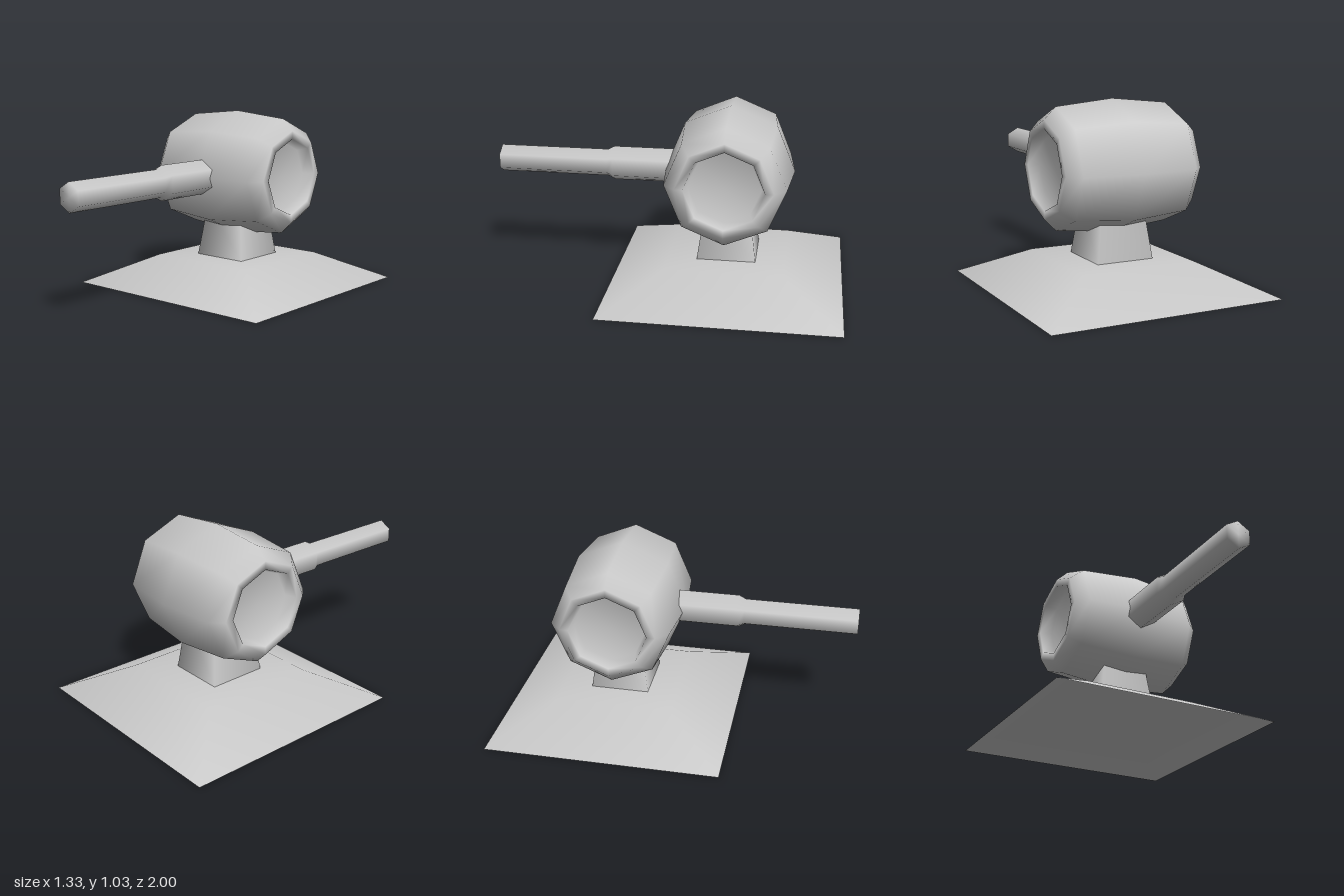
import * as THREE from 'three';

const CENTER_Y = 0.667, CENTER_Z = -0.333;

export function createModel() {
  const group = new THREE.Group();
  const material = new THREE.MeshStandardMaterial({ color: 0xcccccc, side: THREE.DoubleSide });

  const add = (name, geometry, y, z) => {
    const mesh = new THREE.Mesh(geometry, material);
    mesh.name = name;
    mesh.position.set(0, y, z);
    group.add(mesh);
  };
  // profile: [radius, distance along the axis]
  const lathe = (profile, sides) =>
    new THREE.LatheGeometry(profile.map(([r, h]) => new THREE.Vector2(r, h)), sides);
  // square-sided version, with half widths in place of radii
  const square = (profile) =>
    lathe(profile.map(([w, h]) => [w * Math.SQRT2, h]), 4).rotateY(Math.PI / 4);

  // Sloped square base, a shell open underneath
  add('base', square([[0.667, 0], [0.333, 0.167], [0, 0.167]]), 0, CENTER_Z);

  // Tapered post running up into the head
  add('post', square([[0.167, 0.167], [0.127, 0.467]]), 0, CENTER_Z);

  // Eight-sided barrel head, chamfered, with a rim and a hollow in each end
  const half = [[0.366, 0], [0.333, 0.333], [0.267, 0.4], [0.22, 0.4], [0.2, 0.333], [0, 0.333]];
  const mirrored = half.slice(1).reverse().map(([r, h]) => [r, -h]);
  add('head', lathe([...mirrored, ...half], 8).rotateZ(-Math.PI / 2), CENTER_Y, CENTER_Z);

  // Six-sided handle: thick collar stepping down to a slimmer grip
  const handle = [[0.1, -0.2], [0.1, 0.333], [0.08, 0.37], [0.08, 1], [0, 1]];
  add('handle', lathe(handle, 6).rotateX(Math.PI / 2), CENTER_Y, 0);

  return group;
}
